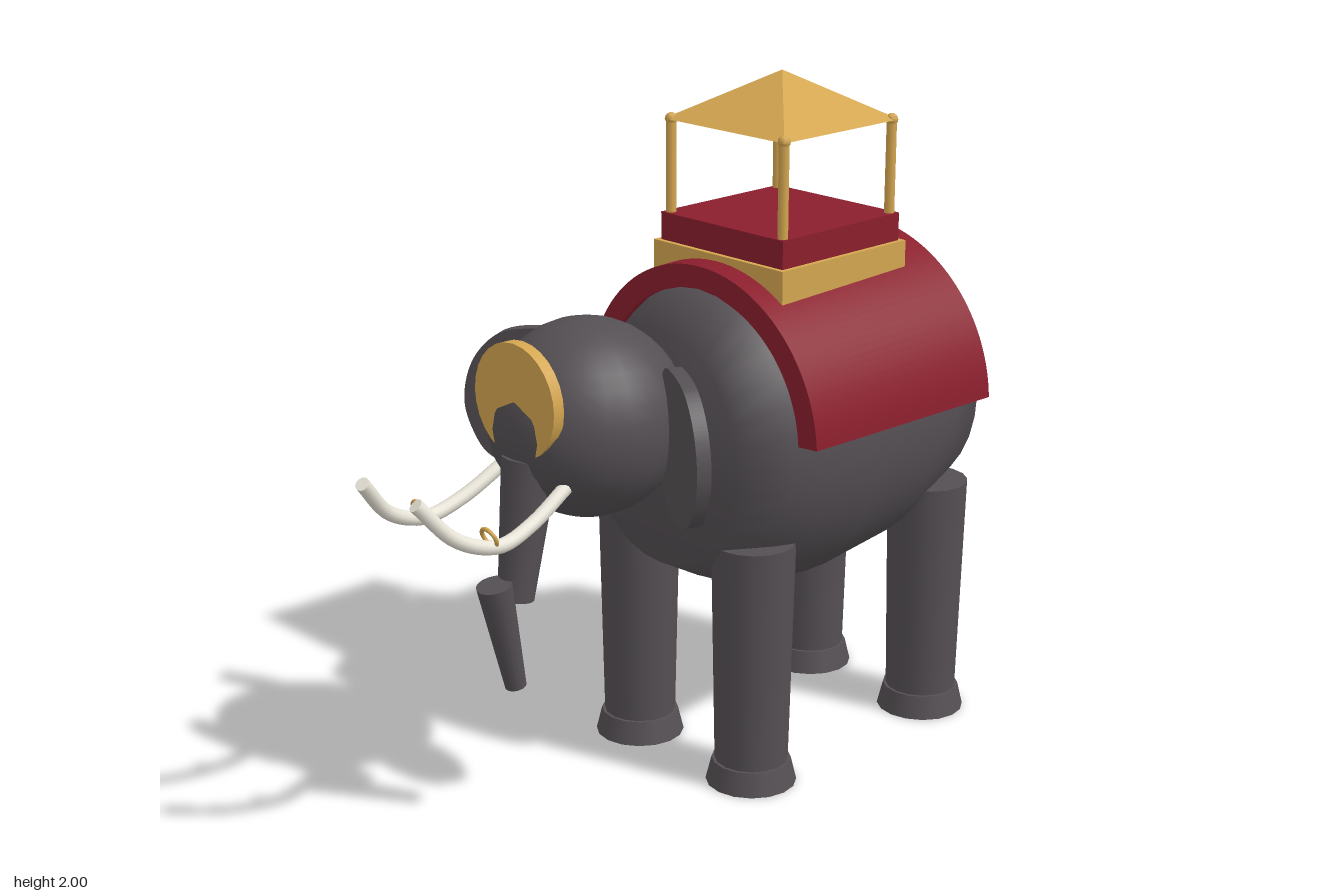
import * as THREE from 'three';
import { toCreasedNormals } from 'three/addons/utils/BufferGeometryUtils.js';

const material = (name, color) => {
  const m = new THREE.MeshStandardMaterial({ color });
  m.name = name;
  return m;
};

export function createModel() {
  const model = new THREE.Group();
  model.name = 'elephantWithCanopySeat';
  const hide = material('greyHide', 0x544f53);
  const red = material('redCloth', 0x8b1e2d);
  const gold = material('gold', 0xd4a650);
  const ivory = material('ivory', 0xe8e4d8);

  const add = (name, geometry, mat, x = 0, y = 0, z = 0) => {
    const mesh = new THREE.Mesh(geometry, mat);
    mesh.name = name;
    mesh.position.set(x, y, z);
    model.add(mesh);
    return mesh;
  };

  // Tapered round limb between two points
  const limb = (name, from, to, r0, r1) => {
    const a = new THREE.Vector3(...from), b = new THREE.Vector3(...to);
    const dir = b.clone().sub(a);
    const mesh = add(name, new THREE.CylinderGeometry(r1, r0, dir.length(), 16), hide);
    mesh.position.copy(a).add(b).multiplyScalar(0.5);
    mesh.quaternion.setFromUnitVectors(new THREE.Vector3(0, 1, 0), dir.normalize());
  };

  // Barrel body, turned along z and slightly narrow in x
  const profile = [[0, -0.98], [0.355, -0.98], [0.41, -0.83], [0.455, -0.7], [0.485, -0.4],
    [0.465, -0.22], [0.43, -0.12], [0.345, 0.035], [0, 0.035]]
    .map(([r, z]) => new THREE.Vector2(r, z));
  const body = new THREE.LatheGeometry(profile, 32).rotateX(Math.PI / 2).scale(0.89, 1, 1);
  add('body', body, hide, 0, 0.995, 0);

  // Legs and feet
  for (const x of [-0.235, 0.235]) {
    for (const z of [-0.11, -0.86]) {
      add('leg', new THREE.CylinderGeometry(0.12, 0.106, 0.68, 16), hide, x, 0.4, z);
      add('foot', new THREE.CylinderGeometry(0.115, 0.132, 0.07, 16), hide, x, 0.035, z);
    }
  }

  // Head and trunk
  add('head', new THREE.SphereGeometry(0.275, 24, 18), hide, 0, 1.15, 0.305);
  limb('upperTrunk', [0, 1.08, 0.51], [0, 0.69, 0.57], 0.078, 0.05);
  limb('lowerTrunk', [0, 0.75, 0.645], [0, 0.435, 0.577], 0.05, 0.03);

  // Forehead disc, with the brow bulging through it
  add('foreheadDisc', new THREE.CylinderGeometry(0.16, 0.16, 0.035, 28).rotateX(Math.PI / 2),
    gold, 0, 1.248, 0.545);

  const earOutline = [[-0.03, 1.25], [0.0, 1.315], [0.055, 1.328], [0.165, 1.3], [0.245, 1.21],
    [0.27, 1.085], [0.225, 0.97], [0.165, 0.925], [0.105, 0.915], [0.03, 0.935], [-0.02, 1.03]];
  for (const s of [-1, 1]) {
    // Thick ears, swept forward
    const shape = new THREE.Shape();
    shape.moveTo(s * earOutline[0][0], earOutline[0][1]);
    shape.splineThru(earOutline.slice(1).concat([earOutline[0]])
      .map(([u, y]) => new THREE.Vector2(s * u, y)));
    const ear = new THREE.ExtrudeGeometry(shape, { depth: 0.04, bevelEnabled: false, curveSegments: 28 });
    ear.translate(0, 0, -0.02);
    add(s > 0 ? 'leftEar' : 'rightEar', toCreasedNormals(ear, 0.7), hide, s * 0.235, 0, 0.215)
      .rotation.y = -s * 0.44;

    // Tusk with closed ends
    const path = new THREE.CatmullRomCurve3([[0.13, 1.025, 0.5], [0.143, 0.96, 0.63], [0.15, 0.932, 0.75],
      [0.138, 0.98, 0.88], [0.11, 1.095, 0.985]].map(([x, y, z]) => new THREE.Vector3(s * x, y, z)));
    add('tusk', new THREE.TubeGeometry(path, 24, 0.02, 12), ivory);
    const tip = add('tuskTip', new THREE.CircleGeometry(0.02, 12), ivory);
    tip.position.copy(path.getPoint(1));
    tip.lookAt(tip.position.clone().add(path.getTangent(1)));

    // Tusk ring
    add('tuskRing', new THREE.TorusGeometry(0.027, 0.006, 8, 20), gold, s * 0.143, 0.962, 0.775)
      .rotation.x = 0.4;
  }

  // Saddle cloth: a thick arch, widening slightly to the rear
  const arch = new THREE.Shape();
  arch.absarc(0, 0, 1, 0.064, Math.PI - 0.064, false);
  arch.absarc(0, 0, 0.85, Math.PI - 0.064, 0.064, true);
  arch.closePath();
  const cloth = new THREE.ExtrudeGeometry(arch, { depth: 0.71, bevelEnabled: false, curveSegments: 32 });
  const p = cloth.attributes.position;
  for (let i = 0; i < p.count; i++) {
    const r = 0.48 - 0.02 * p.getZ(i) / 0.71;
    p.setXY(i, p.getX(i) * r, p.getY(i) * r);
  }
  add('saddleCloth', toCreasedNormals(cloth, 0.6), red, 0, 1.03, -0.83);

  // Seat platform and cushion
  const cz = -0.445;
  add('platform', new THREE.BoxGeometry(0.51, 0.11, 0.51), gold, 0, 1.455, cz);
  add('cushion', new THREE.BoxGeometry(0.48, 0.085, 0.48), red, 0, 1.5485, cz);

  // Canopy posts with small knobs
  for (const sx of [-1, 1]) {
    for (const sz of [-1, 1]) {
      const x = sx * 0.22, z = cz + sz * 0.22;
      add('post', new THREE.CylinderGeometry(0.015, 0.015, 0.36, 10), gold, x, 1.69, z);
      add('postKnob', new THREE.SphereGeometry(0.018, 10, 8), gold, x, 1.86, z);
    }
  }

  // Pyramid canopy roof
  const roof = new THREE.ConeGeometry(0.235 * Math.SQRT2, 0.14, 4).rotateY(Math.PI / 4);
  add('canopyRoof', toCreasedNormals(roof, 0.1), gold, 0, 1.93, cz);

  return model;
}
